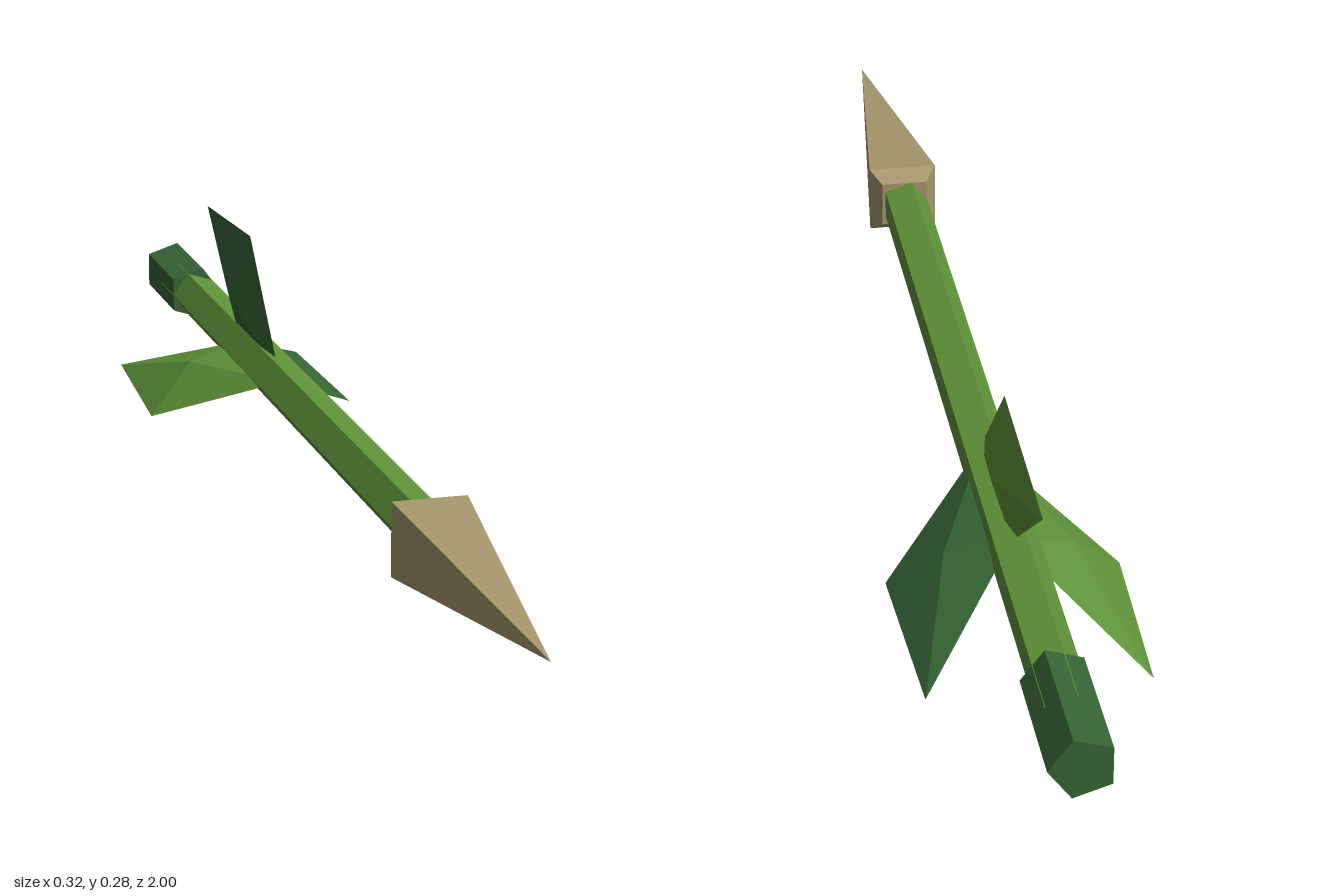
import * as THREE from 'three';

const AXIS_Y = 0.093;

function flat(name, color) {
  const m = new THREE.MeshStandardMaterial({ color, flatShading: true });
  m.name = name;
  return m;
}

// Prism or frustum along z, from z0 (radius r0) to z1 (radius r1)
function prism(r0, r1, z0, z1, sides, turn, open = false) {
  const g = new THREE.CylinderGeometry(r1, r0, z1 - z0, sides, 1, open, turn);
  g.rotateX(Math.PI / 2);
  g.translate(0, 0, (z0 + z1) / 2);
  return g;
}

// Upright fin: a kite outline with a raised centre point on each side
function finGeometry() {
  const outline = [[-0.247, 0], [-0.43, 0.186], [-0.713, 0.172], [-0.495, 0]]; // z, height
  const pos = [];
  const g = new THREE.BufferGeometry();
  [1, -1].forEach((side, i) => {
    outline.forEach((a, k) => {
      const b = outline[(k + 1) % outline.length];
      const [p, q] = side > 0 ? [b, a] : [a, b];
      pos.push(side * 0.0255, 0.087, -0.475, 0, p[1], p[0], 0, q[1], q[0]);
    });
    g.addGroup(i * 12, 12, i);
  });
  g.setAttribute('position', new THREE.Float32BufferAttribute(pos, 3));
  g.computeVertexNormals();
  return g;
}

export function createModel() {
  const leaf = flat('leaf green', 0x5f9438);
  const forest = flat('forest green', 0x356534);
  const tan = flat('tan', 0xa6986c);

  const arrow = new THREE.Group();
  arrow.name = 'arrow';
  const add = (name, geometry, material, parent = arrow) => {
    const mesh = new THREE.Mesh(geometry, material);
    mesh.name = name;
    parent.add(mesh);
    return mesh;
  };

  // Five-sided shaft and end cap
  add('shaft', prism(0.037, 0.037, -0.9, 0.51, 5, -Math.PI / 2), leaf);
  add('nock', prism(0.045, 0.045, -1, -0.81, 5, Math.PI / 2), forest);

  // Square head: long point with a short bevel behind it
  const head = new THREE.Group();
  head.name = 'head';
  arrow.add(head);
  const r = 0.052 * Math.SQRT2;
  add('point', prism(r, 0, 0.517, 1, 4, Math.PI / 4, true), tan, head);
  add('bevel', prism(0.035 * Math.SQRT2, r, 0.495, 0.517, 4, Math.PI / 4), tan, head);

  // Three fins around the shaft, light on one side and dark on the other
  const fin = finGeometry();
  for (let i = 0; i < 3; i++) {
    add('fin' + (i + 1), fin, [leaf, forest]).rotation.z = (i * Math.PI * 2) / 3;
  }

  arrow.position.y = AXIS_Y;
  const model = new THREE.Group();
  model.name = 'model';
  model.add(arrow);
  return model;
}
